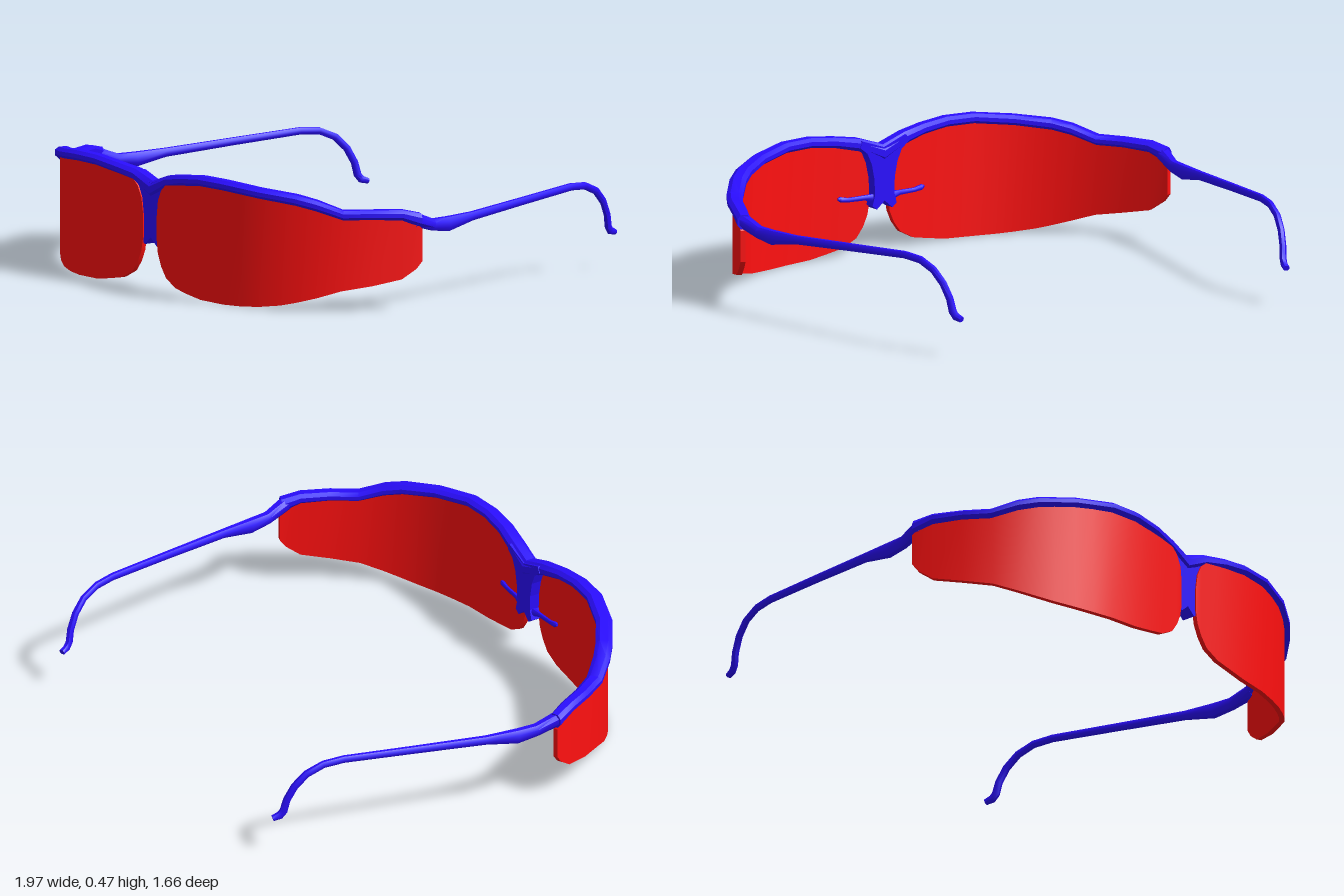
import * as THREE from 'three';
import { toCreasedNormals } from 'three/addons/utils/BufferGeometryUtils.js';

const blue = new THREE.MeshStandardMaterial({ color: 0x2a0dff });
const red = new THREE.MeshStandardMaterial({ color: 0xff1010 });

const BOX = [[1, -1], [1, 1], [-1, 1], [-1, -1]];
const OCTAGON = [[1, -0.4], [1, 0.4], [0.5, 1], [-0.5, 1], [-1, 0.4], [-1, -0.4], [-0.5, -1], [0.5, -1]];

// Lofts a profile along stations [x, y, z, halfWidth, halfHeight]; upright keeps sections vertical
function loft(stations, profile, upright, crease) {
  const n = profile.length, last = stations.length - 1;
  const centres = stations.map(s => new THREE.Vector3(s[0], s[1], s[2]));
  const up = new THREE.Vector3(0, 1, 0);
  const pos = [], index = [];
  stations.forEach(([, , , w, h], i) => {
    const t = centres[Math.min(i + 1, last)].clone().sub(centres[Math.max(i - 1, 0)]);
    if (upright) t.y = 0;
    t.normalize();
    const side = up.clone().cross(t).normalize();
    const top = t.clone().cross(side);
    for (const [a, b] of profile) {
      pos.push(...centres[i].clone().addScaledVector(side, a * w).addScaledVector(top, b * h).toArray());
    }
    if (i < last) {
      for (let j = 0; j < n; j++) {
        const a = i * n + j, b = i * n + (j + 1) % n;
        index.push(a, b, a + n, b, b + n, a + n);
      }
    }
  });
  for (let j = 1; j < n - 1; j++) {
    index.push(0, j + 1, j, last * n, last * n + j, last * n + j + 1);
  }
  const g = new THREE.BufferGeometry();
  g.setAttribute('position', new THREE.Float32BufferAttribute(pos, 3));
  g.setIndex(index);
  return toCreasedNormals(g, crease);
}

// Mirrors a half path (starting on or beside x = 0) into a full one
const mirrorX = half => half.map(([x, ...r]) => [-x, ...r]).reverse();

export function createModel() {
  const group = new THREE.Group();
  const add = (name, geometry, material) => {
    const mesh = new THREE.Mesh(geometry, material);
    mesh.name = name;
    group.add(mesh);
  };

  // Brow bar: from the bridge round to the hinge
  const brow = [
    [0.1, 0.428, 0.782, 0.032, 0.024], [0.2, 0.447, 0.797, 0.03, 0.02],
    [0.31, 0.46, 0.8, 0.03, 0.019], [0.43, 0.459, 0.79, 0.03, 0.019],
    [0.58, 0.442, 0.738, 0.031, 0.019], [0.7, 0.424, 0.662, 0.032, 0.02],
    [0.76, 0.405, 0.613, 0.032, 0.02], [0.825, 0.37, 0.54, 0.031, 0.018],
    [0.885, 0.37, 0.45, 0.029, 0.018], [0.935, 0.366, 0.35, 0.028, 0.02],
    [0.962, 0.342, 0.28, 0.026, 0.027],
  ];
  // Temple arm: hinge, straight arm and ear hook
  const temple = [
    [0.955, 0.345, 0.3, 0.026, 0.025],
    [0.942, 0.315, 0.21, 0.021, 0.022], [0.935, 0.309, 0.13, 0.02, 0.027],
    [0.919, 0.323, 0, 0.015, 0.016], [0.866, 0.342, -0.28, 0.013, 0.014],
    [0.811, 0.36, -0.56, 0.012, 0.013], [0.795, 0.354, -0.64, 0.012, 0.013],
    [0.781, 0.326, -0.705, 0.012, 0.013], [0.768, 0.28, -0.75, 0.012, 0.013],
    [0.757, 0.225, -0.778, 0.012, 0.013], [0.751, 0.178, -0.788, 0.012, 0.014],
    [0.746, 0.16, -0.802, 0.012, 0.014], [0.738, 0.152, -0.828, 0.012, 0.01],
  ];
  const middle = [[0, 0.385, 0.777, 0.034, 0.034]];
  add('browBar', loft([...mirrorX(brow), ...middle, ...brow], OCTAGON, true, 0.6), blue);
  add('leftTemple', loft(temple, OCTAGON, false, 0.7), blue);
  add('rightTemple', loft(temple.map(([x, ...r]) => [-x, ...r]), OCTAGON, false, 0.7), blue);

  // Lenses: upright curved sheets, columns are [x, z, bottom, top]
  const lens = [
    [0.042, 0.797, 0.2, 0.29], [0.05, 0.798, 0.15, 0.35], [0.07, 0.799, 0.105, 0.392],
    [0.1, 0.8, 0.065, 0.418], [0.16, 0.803, 0.034, 0.436], [0.23, 0.804, 0.021, 0.444],
    [0.31, 0.802, 0.009, 0.455], [0.43, 0.79, 0.006, 0.455], [0.51, 0.768, 0.007, 0.444],
    [0.58, 0.74, 0.012, 0.434], [0.65, 0.7, 0.022, 0.423], [0.7, 0.664, 0.035, 0.415],
    [0.76, 0.613, 0.055, 0.398], [0.82, 0.545, 0.082, 0.362], [0.885, 0.45, 0.1, 0.362],
    [0.935, 0.35, 0.122, 0.36], [0.96, 0.3, 0.16, 0.335], [0.968, 0.278, 0.19, 0.31],
  ].map(([x, z, b, t]) => [x, (b + t) / 2, z, 0.01, (t - b) / 2]);
  add('leftLens', loft(lens, BOX, true, 0.6), red);
  add('rightLens', loft(mirrorX(lens), BOX, true, 0.6), red);

  // Nose bridge: notched plate filling the gap between the lenses
  const edge = [[0.1, 0.445], [0.11, 0.42], [0.078, 0.395], [0.058, 0.35], [0.046, 0.29],
    [0.044, 0.23], [0.055, 0.19], [0.035, 0.175]];
  const outline = [[0, 0.41], ...edge, [0, 0.205], ...mirrorX(edge)];
  const shape = new THREE.Shape(outline.map(([x, y]) => new THREE.Vector2(x, y)));
  const bridge = new THREE.ExtrudeGeometry(shape, { depth: 0.055, bevelEnabled: false });
  bridge.translate(0, 0, 0.748);
  add('noseBridge', bridge, blue);

  // Nose pad arms: thin rods reaching sideways behind the lenses
  const padArm = [
    [0.03, 0.215, 0.765, 0.014, 0.018], [0.08, 0.222, 0.768, 0.008, 0.009],
    [0.15, 0.222, 0.772, 0.007, 0.008], [0.185, 0.228, 0.773, 0.009, 0.01],
    [0.195, 0.23, 0.773, 0.004, 0.005],
  ];
  add('leftNosePadArm', loft(padArm, OCTAGON, true, 0.8), blue);
  add('rightNosePadArm', loft(mirrorX(padArm), OCTAGON, true, 0.8), blue);

  return group;
}
